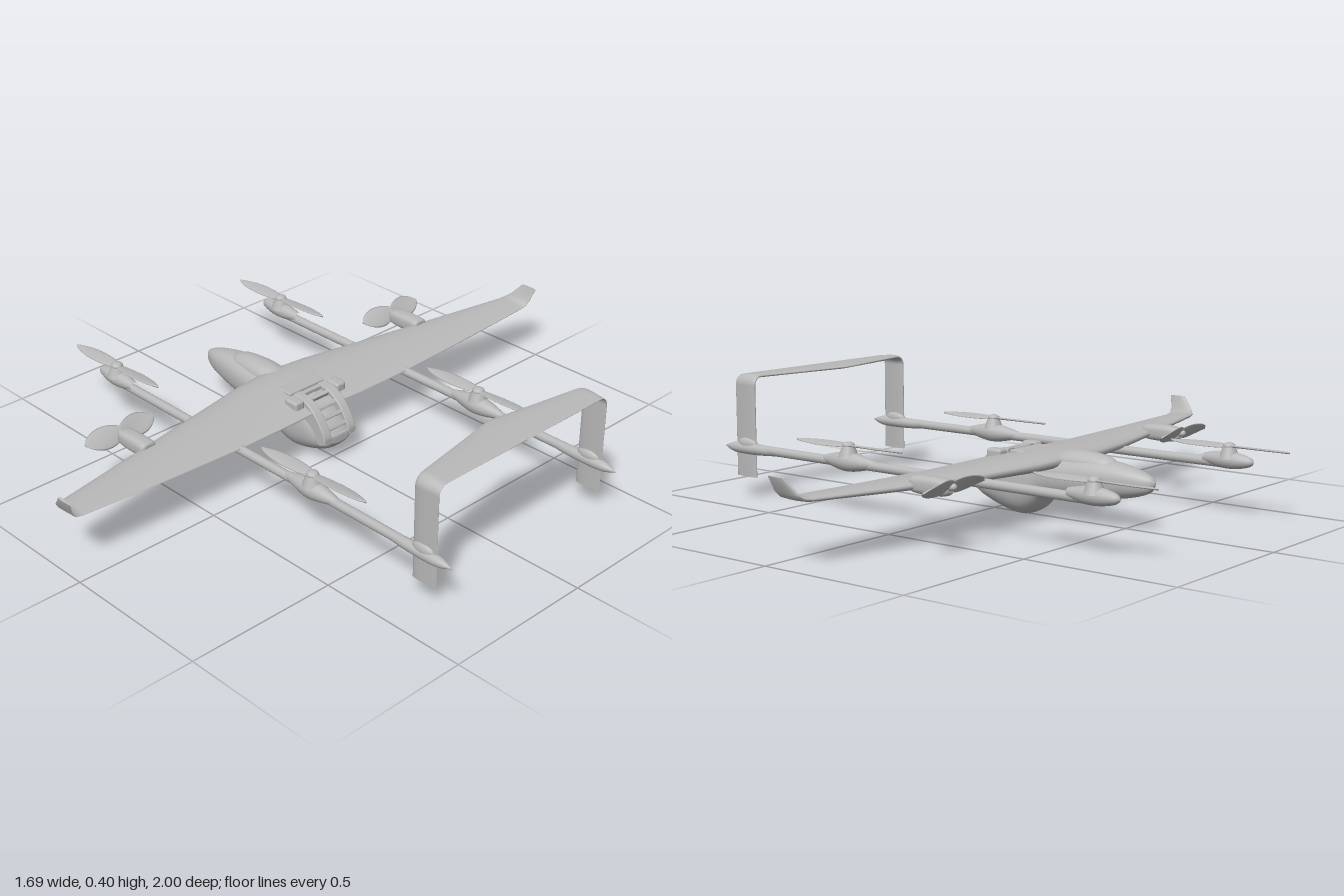
import * as THREE from 'three';
import { RoundedBoxGeometry } from 'three/addons/geometries/RoundedBoxGeometry.js';

const grey = new THREE.MeshStandardMaterial({ color: 0xb8b8b8 });
grey.name = 'light grey';

// Skin a list of equal-length closed rings, with flat end caps
function loft(rings) {
  const n = rings[0].length, pos = [], idx = [];
  rings.forEach(r => r.forEach(p => pos.push(...p)));
  for (let j = 0; j < rings.length - 1; j++) {
    for (let i = 0; i < n; i++) {
      const a = j * n + i, b = j * n + (i + 1) % n;
      idx.push(a, b, a + n, b, b + n, a + n);
    }
  }
  [rings[0], rings[rings.length - 1]].forEach((r, end) => {
    const base = pos.length / 3;
    r.forEach(p => pos.push(...p));
    pos.push(...[0, 1, 2].map(k => r.reduce((s, p) => s + p[k], 0) / n));
    for (let i = 0; i < n; i++) {
      const a = base + i, b = base + (i + 1) % n;
      idx.push(base + n, end ? a : b, end ? b : a);
    }
  });
  const g = new THREE.BufferGeometry();
  g.setAttribute('position', new THREE.Float32BufferAttribute(pos, 3));
  g.setIndex(idx);
  g.computeVertexNormals();
  return g;
}

// Aerofoil stations [leadX, trailX, y, z, thickness, span angle in degrees]
function foil(stations, droop = 0) {
  const N = 24;
  return loft(stations.map(([x0, x1, y, z, t, deg]) => {
    const a = THREE.MathUtils.degToRad(deg), ring = [];
    for (let i = 0; i < N; i++) {
      const th = i / N * Math.PI * 2, u = (1 + Math.cos(th)) / 2;
      const h = Math.sin(th) * t / 2 * (1.3 - 0.95 * u) * 1.2 - droop * t * u * u;
      ring.push([x0 + (x1 - x0) * u, y + Math.cos(a) * h, z - Math.sin(a) * h]);
    }
    return ring;
  }));
}

const mirrored = half => [
  ...half.slice().reverse().map(([a, b, y, z, t, d]) => [a, b, y, -z, t, -d]), ...half];

// Body stations [x, bottom, top, half width], smoothed along x
function body(stations, power = 0.85, steps = 48) {
  const lower = new THREE.CatmullRomCurve3(stations.map(s => new THREE.Vector3(s[0], s[1], s[3])), false, 'centripetal');
  const upper = new THREE.CatmullRomCurve3(stations.map(s => new THREE.Vector3(s[0], s[2], s[3])), false, 'centripetal');
  const pw = v => Math.sign(v) * Math.abs(v) ** power;
  const rings = [];
  for (let j = 0; j <= steps; j++) {
    const p = lower.getPoint(j / steps), top = upper.getPoint(j / steps).y;
    const ring = [], c = (top + p.y) / 2, h = (top - p.y) / 2;
    for (let i = 0; i < 32; i++) {
      const th = i / 32 * Math.PI * 2;
      ring.push([p.x, c + pw(Math.cos(th)) * h, pw(Math.sin(th)) * p.z]);
    }
    rings.push(ring);
  }
  return loft(rings);
}

// Round body along x from [x, radius] pairs
function spindle(points) {
  const curve = new THREE.SplineCurve(points.map(([x, r]) => new THREE.Vector2(r, x)));
  const pts = curve.getPoints(24).map(p => new THREE.Vector2(Math.max(p.x, 0), p.y));
  return new THREE.LatheGeometry(pts, 16).rotateZ(-Math.PI / 2);
}

// Leaf-shaped blade lying along +x
function blade(length, chord, pitch) {
  const rings = [];
  for (let j = 0; j <= 14; j++) {
    const t = j / 14;
    const leaf = 0.25 + 0.75 * Math.sin(Math.PI * Math.min(1, t * 0.85 + 0.1)) ** 0.8;
    const c = chord / 2 * leaf * Math.sqrt(Math.max(0.01, 1 - t ** 8));
    const a = pitch * (1.3 - 0.5 * t), ring = [];
    for (let i = 0; i < 12; i++) {
      const th = -i / 12 * Math.PI * 2, u = Math.cos(th) * c, v = Math.sin(th) * 0.0035;
      ring.push([t * length, u * Math.sin(a) + v * Math.cos(a), u * Math.cos(a) - v * Math.sin(a)]);
    }
    rings.push(ring);
  }
  return loft(rings);
}

export function createModel() {
  const model = new THREE.Group();
  model.name = 'aircraft';
  const add = (name, geo, x = 0, y = 0, z = 0, parent = model) => {
    const m = new THREE.Mesh(geo, grey);
    m.name = name;
    m.position.set(x, y, z);
    parent.add(m);
    return m;
  };
  // Two blades, each given as [turn about y, pitch]
  const propeller = (name, r, chord, blades, x, y, z) => {
    const g = new THREE.Group();
    g.name = name;
    g.position.set(x, y, z);
    for (const [turn, pitch] of blades) add('blade', blade(r, chord, pitch), 0, 0, 0, g).rotation.y = turn;
    model.add(g);
  };

  // Fuselage with the deep belly, and the raised canopy
  add('fuselage', body([
    [-0.602, 0.145, 0.155, 0.004], [-0.59, 0.125, 0.168, 0.017], [-0.55, 0.107, 0.184, 0.035],
    [-0.48, 0.092, 0.199, 0.052], [-0.4, 0.081, 0.206, 0.065], [-0.3, 0.073, 0.205, 0.073],
    [-0.225, 0.064, 0.202, 0.076], [-0.19, 0.025, 0.202, 0.078], [-0.14, 0.004, 0.202, 0.078],
    [-0.08, 0.011, 0.196, 0.077], [-0.02, 0.032, 0.158, 0.072], [0.018, 0.052, 0.118, 0.06],
    [0.034, 0.072, 0.095, 0.035]]));
  add('canopy', body([
    [-0.48, 0.17, 0.188, 0.01], [-0.44, 0.16, 0.212, 0.034], [-0.37, 0.15, 0.223, 0.046],
    [-0.3, 0.15, 0.222, 0.05], [-0.25, 0.15, 0.208, 0.046], [-0.22, 0.16, 0.195, 0.03]], 1));

  // Wing with upturned tips
  add('wing', foil(mirrored([
    [-0.3, -0.018, 0.188, 0.05, 0.05, 0], [-0.292, -0.016, 0.186, 0.15, 0.046, 0],
    [-0.255, -0.017, 0.184, 0.36, 0.038, 0], [-0.19, -0.024, 0.189, 0.68, 0.026, 1],
    [-0.134, -0.032, 0.195, 0.945, 0.016, 3], [-0.128, -0.032, 0.199, 0.968, 0.014, 30],
    [-0.112, -0.028, 0.213, 0.982, 0.012, 65], [-0.075, -0.016, 0.255, 0.996, 0.008, 75]]), 0.25));

  // Arched tail: two fins joined by the tailplane
  const arch = [[0.638, 0.4, 0, 0], [0.668, 0.4, 0.17, 0], [0.695, 0.4, 0.325, 0]];
  for (let d = 15; d <= 90; d += 15) {
    const a = THREE.MathUtils.degToRad(d);
    arch.push([0.697, 0.37 + 0.03 * Math.cos(a), 0.33 + 0.03 * Math.sin(a), -d]);
  }
  arch.push([0.697, 0.07, 0.36, -90]);
  add('tail arch', foil(mirrored(arch.map(([x, y, z, d]) => [x, 0.786, y, z, 0.012, d]))));

  // Louvred intake over the rear of the belly
  const edge = new THREE.CatmullRomCurve3([[-0.105, 0.208], [-0.06, 0.203], [-0.02, 0.178],
    [0.01, 0.142], [0.029, 0.105], [0.03, 0.085]].map(([x, y]) => new THREE.Vector3(x, y, 0)));
  const rail = new THREE.Shape(edge.getPoints(24).map(p => new THREE.Vector2(p.x, p.y)));
  rail.lineTo(0.01, 0.075);
  rail.lineTo(-0.105, 0.16);
  for (const z of [-0.065, 0.04]) {
    add('intake rail', new THREE.ExtrudeGeometry(rail, {
      depth: 0.025, bevelEnabled: true, bevelThickness: 0.004, bevelSize: 0.004, bevelSegments: 3 }), 0, 0, z);
  }
  for (let i = 0; i < 6; i++) {
    const t = 0.06 + i * 0.155, p = edge.getPoint(t), d = edge.getTangent(t);
    add('louvre', new RoundedBoxGeometry(0.014, 0.024, 0.084, 2, 0.004), p.x - 0.008, p.y - 0.008, 0)
      .rotation.z = Math.atan2(d.y, d.x);
  }
  add('roof hatch', new RoundedBoxGeometry(0.055, 0.02, 0.15, 2, 0.005), -0.145, 0.202, 0);

  for (const s of [1, -1]) {
    const z = 0.36 * s;
    add('roof box', new RoundedBoxGeometry(0.055, 0.036, 0.04, 3, 0.01), -0.08, 0.197, 0.09 * s);

    // Boom, rounded tail end and fin fairing
    add('boom', new THREE.CylinderGeometry(0.015, 0.015, 1.4, 16).rotateZ(Math.PI / 2), 0.06, 0.165, z);
    add('boom tail', spindle([[0.6, 0.012], [0.66, 0.017], [0.74, 0.019], [0.8, 0.015], [0.842, 0]]), 0, 0.163, z);
    add('fin fairing', new THREE.SphereGeometry(1, 16, 12).scale(0.042, 0.022, 0.016), 0.735, 0.178, z);

    // Lift motors and rotors
    for (const [name, x, pod] of [
      ['front', -0.637, [[-0.725, 0], [-0.71, 0.015], [-0.66, 0.026], [-0.61, 0.026], [-0.55, 0.015]]],
      ['rear', 0.289, [[0.18, 0.012], [0.24, 0.025], [0.285, 0.031], [0.33, 0.026], [0.39, 0.012]]]]) {
      add(name + ' motor pod', spindle(pod), 0, x < 0 ? 0.176 : 0.169, z);
      add(name + ' motor', new THREE.CylinderGeometry(0.02, 0.033, 0.035, 20), x, 0.2, z);
      add(name + ' rotor hub', new THREE.SphereGeometry(0.02, 16, 10).scale(1, 0.6, 1), x, 0.22, z);
      propeller(name + ' rotor', x < 0 ? 0.207 : 0.215, 0.05, [[0.03, 0.16], [Math.PI + 0.03, 0.16]], x, 0.219, z);
    }

    // Wing nacelle and cruise propeller
    add('nacelle', body([
      [-0.315, -0.014, 0.014, 0.014], [-0.305, -0.022, 0.022, 0.024], [-0.27, -0.027, 0.027, 0.028],
      [-0.22, -0.027, 0.027, 0.028], [-0.185, -0.022, 0.024, 0.027], [-0.18, -0.015, 0.018, 0.02]], 0.7, 20), 0, 0.193, 0.59 * s);
    add('spinner', spindle([[-0.335, 0], [-0.328, 0.01], [-0.3, 0.013]]), 0, 0.198, 0.59 * s);
    propeller('cruise propeller', 0.132, 0.074, [[-Math.PI / 2 - 0.08, 0.75], [Math.PI / 2 + 0.08, -0.75]],
      -0.316, 0.2, 0.59 * s);
  }
  return model;
}
